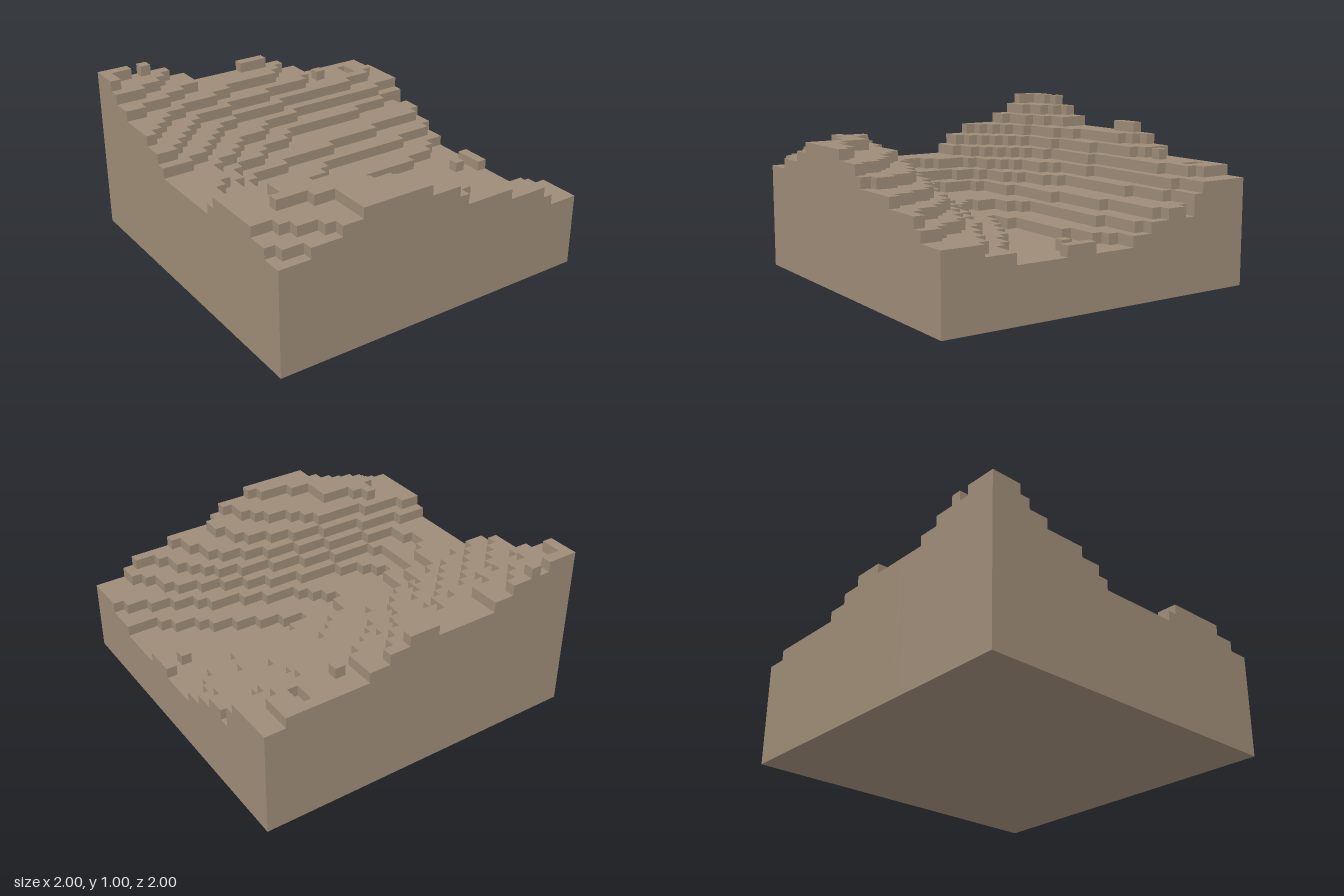
import * as THREE from 'three';

const N = 32;            // cells per side
const S = 2 / N;         // cell size, also the terrace height

// Heights (in terraces) at a coarse net of columns and rows
const COLS = [0, 4, 8, 12, 16, 20, 24, 28, 31];
const ROWS = [0, 2, 4, 6, 8, 11, 13, 17, 20, 22, 24, 26, 29, 31];
const NET = [
  [15.65, 15.4, 13.7, 12.8, 13, 12.4, 10.5, 11, 9.8],
  [15.6, 14.7, 13.6, 12.9, 12.7, 12, 10.7, 11, 10],
  [14.2, 13.6, 12.7, 12, 11.4, 11, 10.6, 10.3, 9.7],
  [13.4, 12.4, 11, 10.3, 9.6, 9.2, 9, 8.8, 7.3],
  [13, 11.5, 10.2, 9.6, 8.2, 8, 8, 8, 8],
  [12, 10.5, 9.2, 7.9, 7.6, 7.4, 7.3, 7, 6.4],
  [10.3, 10, 7.6, 7.1, 6.6, 6.2, 6.1, 5.7, 5.3],
  [10, 9.2, 6.9, 6.6, 5.6, 5, 5, 5, 5],
  [10, 9.4, 8, 7.3, 6.4, 5.8, 5.3, 5, 5],
  [11.8, 11, 10.2, 8.9, 7.8, 6.6, 5.9, 5, 5],
  [12, 12.6, 12, 11, 9.8, 8.3, 6.6, 5.7, 5],
  [12, 12.7, 12.5, 11.6, 10.9, 9.8, 7.9, 6.5, 6.1],
  [10.8, 12, 12.6, 12.4, 11.6, 10.2, 8.8, 7.4, 6.9],
  [9.6, 10.9, 12.8, 13.2, 12.2, 9.9, 9.45, 8.2, 6.7],
];

// Lone blocks and pits: first column, last column, first row, last row, height
const SPOTS = [
  [4, 4, 0, 0, 16],
  [15, 17, 0, 0, 14],
  [23, 23, 2, 2, 12],
  [27, 27, 1, 2, 10],
  [31, 31, 17, 19, 6],
  [29, 29, 18, 18, 6],
  [29, 30, 31, 31, 7],
];

// Index of the net interval holding v, and the fraction along it
function locate(list, v) {
  let i = 0;
  while (i < list.length - 2 && v >= list[i + 1]) i++;
  return [i, (v - list[i]) / (list[i + 1] - list[i])];
}

// Height of a cell, stepped to whole terraces; nothing outside the block
function height(c, r) {
  if (c < 0 || r < 0 || c >= N || r >= N) return 0;
  for (const [c0, c1, r0, r1, h] of SPOTS) {
    if (c >= c0 && c <= c1 && r >= r0 && r <= r1) return h;
  }
  const [i, u] = locate(COLS, c);
  const [j, v] = locate(ROWS, r);
  const lerp = THREE.MathUtils.lerp;
  return Math.round(lerp(
    lerp(NET[j][i], NET[j][i + 1], u),
    lerp(NET[j + 1][i], NET[j + 1][i + 1], u), v));
}

function terrainGeometry() {
  const pos = [];
  const quad = (a, b, c, d) => pos.push(...a, ...b, ...c, ...a, ...c, ...d);

  for (let r = 0; r < N; r++) {
    for (let c = 0; c < N; c++) {
      const x0 = c * S - 1, x1 = x0 + S;
      const z0 = r * S - 1, z1 = z0 + S;
      const level = height(c, r), y = level * S;
      // terrace top
      quad([x0, y, z1], [x1, y, z1], [x1, y, z0], [x0, y, z0]);
      // walls down to each lower neighbour
      const sides = [
        [0, 1, x0, z1, x1, z1],
        [1, 0, x1, z1, x1, z0],
        [0, -1, x1, z0, x0, z0],
        [-1, 0, x0, z0, x0, z1],
      ];
      for (const [dc, dr, ax, az, bx, bz] of sides) {
        const low = height(c + dc, r + dr);
        if (low >= level) continue;
        const b = low * S;
        quad([ax, b, az], [bx, b, bz], [bx, y, bz], [ax, y, az]);
      }
    }
  }
  // underside
  quad([-1, 0, -1], [1, 0, -1], [1, 0, 1], [-1, 0, 1]);

  const geometry = new THREE.BufferGeometry();
  geometry.setAttribute('position', new THREE.Float32BufferAttribute(pos, 3));
  geometry.computeVertexNormals();
  return geometry;
}

export function createModel() {
  const group = new THREE.Group();
  group.name = 'terracedLandscape';
  const earth = new THREE.MeshStandardMaterial({ color: 0x9e8c77 });
  earth.name = 'earth brown';
  const terrain = new THREE.Mesh(terrainGeometry(), earth);
  terrain.name = 'terrain';
  group.add(terrain);
  return group;
}
